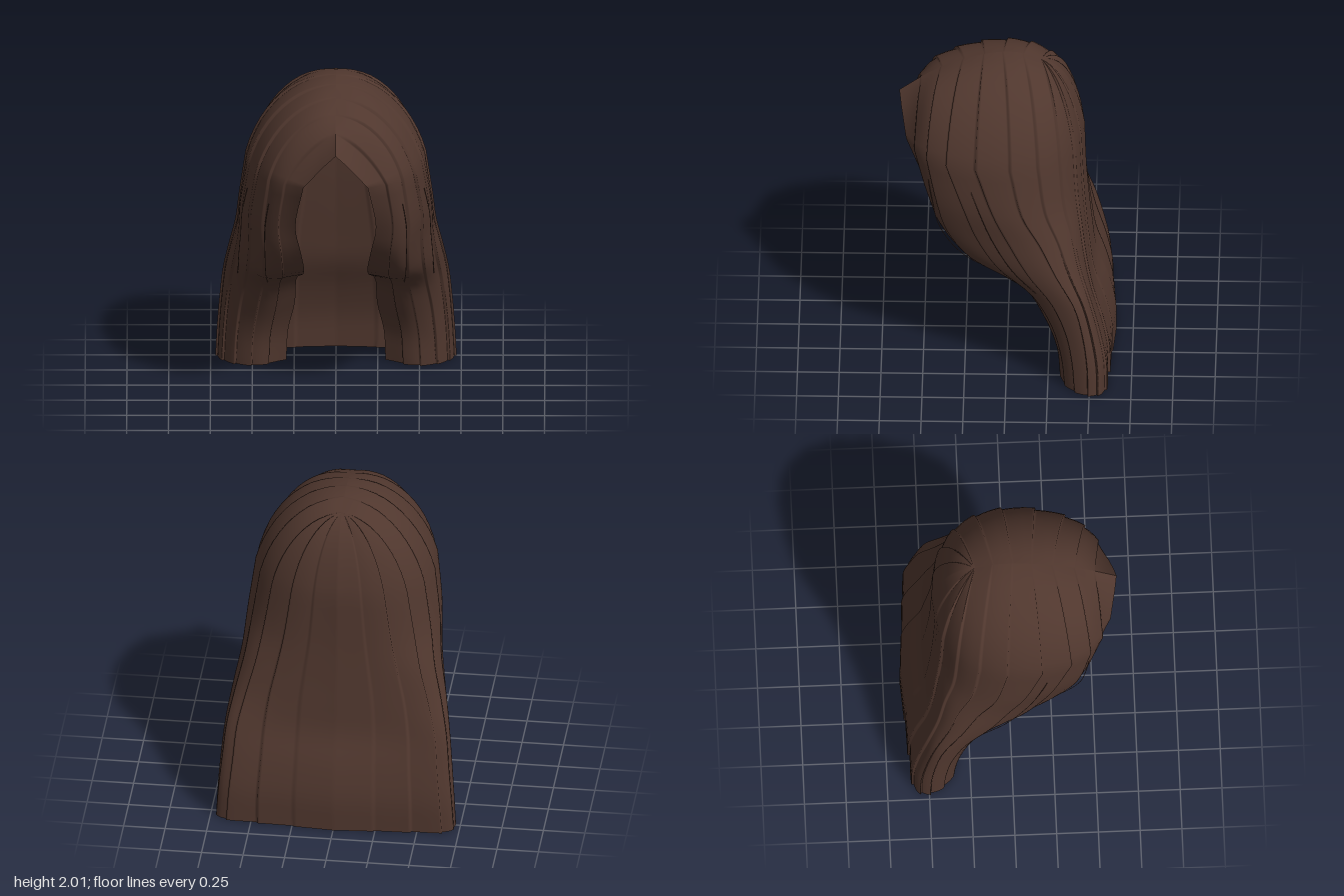
import * as THREE from 'three';

// Half cross-sections [height, (x, z) pairs], from the back centre round to the face edge
const SECTIONS = [
  [1.5, 0, -0.46, 0.24, -0.42, 0.44, -0.28, 0.535, -0.02, 0.49, 0.32, 0.37, 0.51, 0.19, 0.6],
  [1.2, 0, -0.47, 0.28, -0.435, 0.49, -0.31, 0.575, -0.09, 0.535, 0.2, 0.4, 0.45, 0.24, 0.47],
  [1.0, 0, -0.485, 0.32, -0.455, 0.53, -0.37, 0.595, -0.2, 0.535, 0.12, 0.39, 0.39, 0.21, 0.37],
  [0.8, 0, -0.505, 0.36, -0.48, 0.585, -0.42, 0.635, -0.3, 0.55, 0, 0.39, 0.24, 0.19, 0.18],
  [0.6, 0, -0.53, 0.38, -0.515, 0.635, -0.49, 0.67, -0.41, 0.57, -0.19, 0.4, -0.1, 0.24, -0.2],
  [0.4, 0, -0.6, 0.39, -0.575, 0.655, -0.54, 0.69, -0.46, 0.6, -0.3, 0.43, -0.23, 0.25, -0.33],
  [0.2, 0, -0.645, 0.4, -0.615, 0.675, -0.575, 0.705, -0.485, 0.62, -0.35, 0.46, -0.31, 0.29, -0.4],
  [0, 0, -0.65, 0.4, -0.62, 0.69, -0.58, 0.715, -0.49, 0.63, -0.37, 0.47, -0.33, 0.3, -0.43],
].map(([y, ...p]) => {
  const pts = [];
  for (let i = 0; i < p.length; i += 2) pts.push(new THREE.Vector3(p[i], y, p[i + 1]));
  return new THREE.CatmullRomCurve3(pts);
});

// Parting line from the crown forward to the peak over the face
const PARTING = new THREE.CatmullRomCurve3(
  [[1.95, -0.2], [2, -0.07], [2, 0.07], [1.97, 0.2], [1.91, 0.36], [1.83, 0.5], [1.72, 0.65]]
    .map(([y, z]) => new THREE.Vector3(0, y, z)));

const DOME_ROWS = 12;
const FALL_ROWS = 28;
const DOME_ANGLE = THREE.MathUtils.degToRad(70);

// One strand from the parting to the tip; u = 0 at the back centre, 1 at the face edge
function strand(u) {
  const points = [];
  const top = PARTING.getPoint(Math.max(0, (u - 0.3) / 0.7));
  const rim = SECTIONS[0].getPoint(u);
  const straight = THREE.MathUtils.smoothstep(u, 0.8, 1);
  for (let i = 0; i < DOME_ROWS; i++) {
    const t = i / DOME_ROWS;
    const a = t * DOME_ANGLE;
    const out = THREE.MathUtils.lerp(Math.sin(a) / Math.sin(DOME_ANGLE), t, straight);
    const down = THREE.MathUtils.lerp((1 - Math.cos(a)) / (1 - Math.cos(DOME_ANGLE)), t, straight);
    points.push(new THREE.Vector3(
      rim.x * out,
      THREE.MathUtils.lerp(top.y, rim.y, down),
      THREE.MathUtils.lerp(top.z, rim.z, out)));
  }
  const fall = new THREE.CatmullRomCurve3(SECTIONS.map((s) => s.getPoint(u)));
  return points.concat(fall.getPoints(FALL_ROWS));
}

// Columns of each half, packed closely at both edges of every lock
const LOCKS = 10;
const COLUMNS = [];
for (let k = 0; k < LOCKS; k++) {
  for (const f of [0, 0.06, 0.3, 0.6, 0.9, 0.97]) COLUMNS.push({ u: (k + f) / LOCKS, step: k ? f - 0.5 : 0 });
}
COLUMNS.push({ u: 1, step: 0.5 });

// Open shell of hair, mirrored about the back centre, with overlapping stepped locks
function hairShell() {
  const rows = DOME_ROWS + FALL_ROWS + 1;
  const half = COLUMNS.length - 1;
  const pos = [];
  const index = [];
  for (let c = -half; c <= half; c++) {
    for (const p of strand(COLUMNS[Math.abs(c)].u)) pos.push(c < 0 ? -p.x : p.x, p.y, p.z);
  }
  for (let c = 0; c < half * 2; c++) {
    for (let r = 0; r < rows - 1; r++) {
      const a = c * rows + r;
      const b = a + rows;
      index.push(a, b, a + 1, b, b + 1, a + 1);
    }
  }
  const geo = new THREE.BufferGeometry();
  geo.setAttribute('position', new THREE.Float32BufferAttribute(pos, 3));
  geo.setIndex(index);
  geo.computeVertexNormals();

  // Lift each lock's leading edge over its neighbour
  const P = geo.attributes.position;
  const N = geo.attributes.normal;
  for (let i = 0; i < P.count; i++) {
    const r = i % rows;
    const { step } = COLUMNS[Math.abs(Math.floor(i / rows) - half)];
    const lift = 0.014 * step * Math.min(1, r / 4);
    P.setX(i, P.getX(i) + N.getX(i) * lift);
    P.setZ(i, P.getZ(i) + N.getZ(i) * lift);
    if (r > 0 && r < DOME_ROWS) P.setY(i, P.getY(i) + N.getY(i) * lift);
  }
  geo.computeVertexNormals();
  return geo;
}

export function createModel() {
  const model = new THREE.Group();
  model.name = 'longHair';
  const brown = new THREE.MeshStandardMaterial({ color: 0x50372e, side: THREE.DoubleSide });
  brown.name = 'dark brown hair';

  const shell = new THREE.Mesh(hairShell(), brown);
  shell.name = 'hairShell';
  model.add(shell);

  // Fine loose strands standing just off the sides
  for (const side of [-1, 1]) {
    for (const u of [0.64, 0.82]) {
      const path = strand(u).slice(DOME_ROWS + 2, DOME_ROWS + 16);
      const pts = path.map((p, i) => {
        const off = 0.018 * Math.sin(Math.PI * i / (path.length - 1));
        return new THREE.Vector3(side * (p.x + off), p.y, p.z + off * (u - 0.5) * 2);
      });
      const wisp = new THREE.Mesh(
        new THREE.TubeGeometry(new THREE.CatmullRomCurve3(pts), 24, 0.002, 4), brown);
      wisp.name = side > 0 ? 'leftLooseStrand' : 'rightLooseStrand';
      model.add(wisp);
    }
  }
  return model;
}
